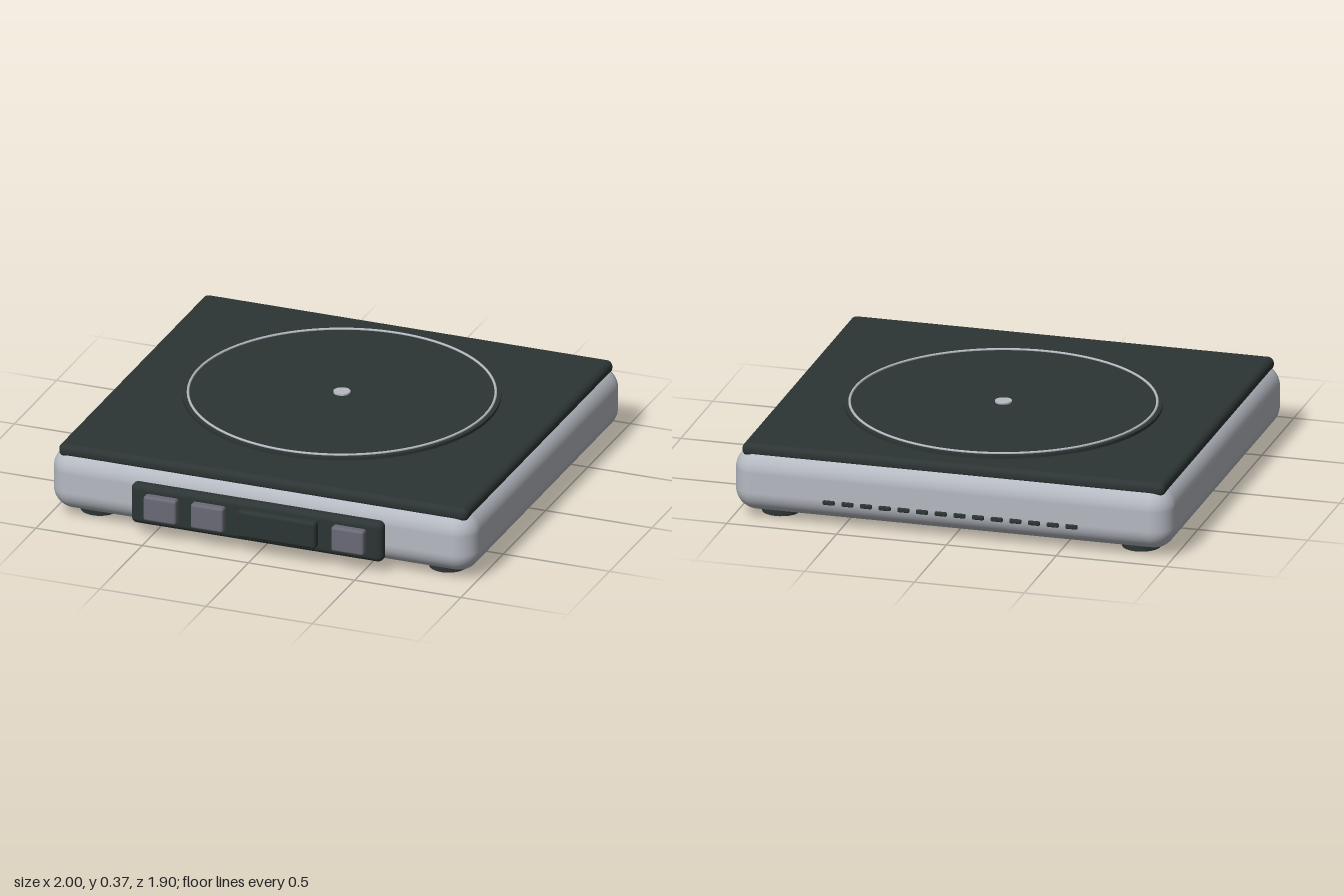
import * as THREE from 'three';
import { RoundedBoxGeometry } from 'three/addons/geometries/RoundedBoxGeometry.js';

const material = (name, color) => {
  const m = new THREE.MeshStandardMaterial({ color });
  m.name = name;
  return m;
};

export function createModel() {
  const silver = material('silver', 0xb6bac2);
  const dark = material('dark green grey', 0x2c3534);
  const grey = material('button grey', 0x6a6a76);

  const model = new THREE.Group();
  model.name = 'portableDiscPlayer';

  const add = (name, geometry, mat, x, y, z) => {
    const mesh = new THREE.Mesh(geometry, mat);
    mesh.name = name;
    mesh.position.set(x, y, z);
    model.add(mesh);
    return mesh;
  };
  // Rounded box given by its lower and upper bounds
  const box = (name, mat, [x0, x1], [y0, y1], [z0, z1], radius, segments = 4) =>
    add(name, new RoundedBoxGeometry(x1 - x0, y1 - y0, z1 - z0, segments, radius), mat,
      (x0 + x1) / 2, (y0 + y1) / 2, (z0 + z1) / 2);

  // Case and lid
  box('body', silver, [-1, 1], [0.03, 0.32], [-0.94, 0.87], 0.1, 8);
  box('lid', dark, [-0.963, 0.963], [0.28, 0.342], [-0.905, 0.84], 0.028);

  // Raised disc cover with a thin ring and centre dot
  const discZ = -0.105;
  add('discCover', new THREE.CylinderGeometry(0.697, 0.697, 0.025, 96), dark, 0, 0.344, discZ);
  const ring = add('discRing', new THREE.TorusGeometry(0.673, 0.006, 8, 96), silver, 0, 0.359, discZ);
  ring.rotation.x = Math.PI / 2;
  add('centreDot', new THREE.CylinderGeometry(0.038, 0.038, 0.012, 20), silver, 0, 0.358, discZ);

  // Front control panel with buttons and display
  box('controlPanel', dark, [-0.593, 0.593], [0.055, 0.245], [0.85, 0.912], 0.028);
  for (const x of [-0.441, -0.219, 0.442]) {
    box('button', grey, [x - 0.077, x + 0.077], [0.093, 0.21], [0.895, 0.947], 0.012, 3);
  }
  box('display', dark, [-0.076, 0.293], [0.087, 0.215], [0.895, 0.947], 0.015, 3);

  // Row of vents along the back
  const ventCount = 14;
  for (let i = 0; i < ventCount; i++) {
    const x = (i - (ventCount - 1) / 2) * 0.085;
    box('vent', dark, [x - 0.027, x + 0.027], [0.11, 0.13], [-0.95, -0.93], 0.006, 2);
  }

  // Feet
  for (const x of [-0.82, 0.82]) {
    for (const z of [-0.763, 0.695]) {
      add('foot', new THREE.CylinderGeometry(0.085, 0.085, 0.04, 32), dark, x, 0.02, z);
    }
  }
  return model;
}
